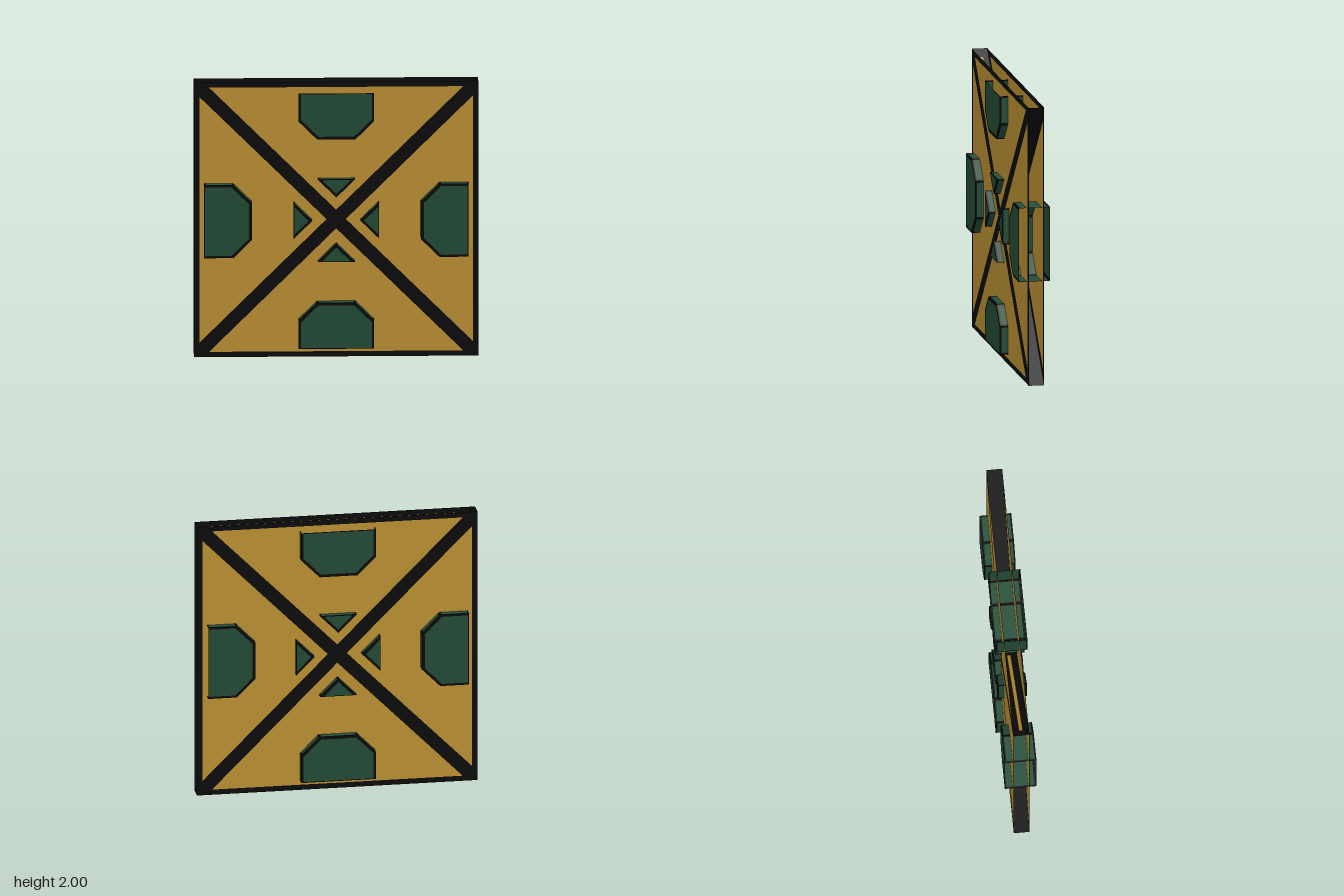
import * as THREE from 'three';

const mat = (name, color) => {
  const m = new THREE.MeshStandardMaterial({ color, side: THREE.DoubleSide });
  m.name = name;
  return m;
};

// Offset each edge of a counter-clockwise convex polygon inwards by its own distance.
function inset(pts, dist) {
  const n = pts.length;
  const lines = pts.map(([x, y], i) => {
    const [u, v] = pts[(i + 1) % n];
    const len = Math.hypot(u - x, v - y);
    const nx = -(v - y) / len, ny = (u - x) / len;
    return [nx, ny, nx * x + ny * y + dist[i]];
  });
  return lines.map((b, i) => {
    const a = lines[(i + n - 1) % n];
    const det = a[0] * b[1] - a[1] * b[0];
    return [(a[2] * b[1] - a[1] * b[2]) / det, (a[0] * b[2] - a[2] * b[0]) / det];
  });
}

const vectors = (pts) => pts.map(([x, y]) => new THREE.Vector2(x, y));

// Flat coloured panel surrounded by a coplanar dark border.
function panel(name, pts, dist, fill, rim) {
  const g = new THREE.Group();
  g.name = name;
  const inner = vectors(inset(pts, dist));
  const border = new THREE.Shape(vectors(pts));
  border.holes.push(new THREE.Path(inner));
  const add = (part, shape, m) => {
    const mesh = new THREE.Mesh(new THREE.ShapeGeometry(shape), m);
    mesh.name = part;
    g.add(mesh);
  };
  add(name + 'Border', border, rim);
  add(name + 'Fill', new THREE.Shape(inner), fill);
  return g;
}

// Matching panels on the front and the back (outlines are symmetric in x).
function facePair(name, pts, dist, z, fill, rim) {
  const front = panel(name + 'Front', pts, dist, fill, rim);
  front.position.z = z;
  const back = panel(name + 'Back', pts, dist, fill, rim);
  back.rotation.y = Math.PI;
  back.position.z = -z;
  return [front, back];
}

// Upright wall running along one edge of an outline, through the whole thickness.
function wall(name, a, b, z, fill, rim) {
  const dir = new THREE.Vector3(b[0] - a[0], b[1] - a[1], 0);
  const len = dir.length();
  dir.normalize();
  const g = panel(name, [[0, -z], [len, -z], [len, z], [0, z]], [0.012, 0.012, 0.012, 0.012], fill, rim);
  const up = new THREE.Vector3(0, 0, 1);
  g.quaternion.setFromRotationMatrix(
    new THREE.Matrix4().makeBasis(dir, up, new THREE.Vector3().crossVectors(dir, up)));
  g.position.set(a[0], a[1], 0);
  return g;
}

export function createModel() {
  const gold = mat('gold', 0xc89a38);
  const green = mat('green', 0x26503a);
  const black = mat('black', 0x0d0d0d);
  const model = new THREE.Group();
  model.name = 'squarePanel';
  const half = 0.055;

  // Outlines for the upper quarter, measured from the centre of the square
  const wedge = [[0, 0], [1, 1], [-1, 1]];
  const block = [[-0.135, 0.595], [0.135, 0.595], [0.265, 0.725], [0.265, 0.93], [-0.265, 0.93], [-0.265, 0.725]];
  const stud = [[0, 0.17], [0.13, 0.3], [-0.13, 0.3]];

  ['upper', 'right', 'lower', 'left'].forEach((side, k) => {
    const quarter = new THREE.Group();
    quarter.name = side + 'Quarter';
    quarter.position.y = 1;
    quarter.rotation.z = k * Math.PI / 2;

    // Thin triangular sheets, open along the outer edge
    quarter.add(...facePair('triangle', wedge, [0.048, 0.038, 0.048], half, gold, black));

    // Block standing through both sheets, open at its outer end
    quarter.add(...facePair('block', block, [0.02, 0.02, 0.015, 0.006, 0.015, 0.02], 0.112, green, black));
    block.forEach((p, i) => {
      if (i !== 3) quarter.add(wall('blockWall', p, block[(i + 1) % 6], 0.112, green, black));
    });

    // Small stud near the centre
    quarter.add(...facePair('stud', stud, [0.018, 0.004, 0.018], 0.104, green, black));
    stud.forEach((p, i) => quarter.add(wall('studWall', p, stud[(i + 1) % 3], 0.104, green, black)));

    // Dark wall along the diagonal
    const diagonal = new THREE.Mesh(new THREE.PlaneGeometry(Math.SQRT2, half * 2), black);
    diagonal.name = 'diagonalWall';
    diagonal.rotation.set(Math.PI / 2, Math.PI / 4, 0);
    diagonal.position.set(0.5, 0.5, 0);
    quarter.add(diagonal);
    model.add(quarter);
  });

  // Gold stripe inside the upper quarter, along its left diagonal
  const stripe = new THREE.Mesh(new THREE.BoxGeometry(1.26, 0.004, 0.028), gold);
  stripe.name = 'innerStripe';
  stripe.rotation.z = -Math.PI / 4;
  stripe.position.set(-0.5, 1.504, 0);
  model.add(stripe);

  return model;
}
